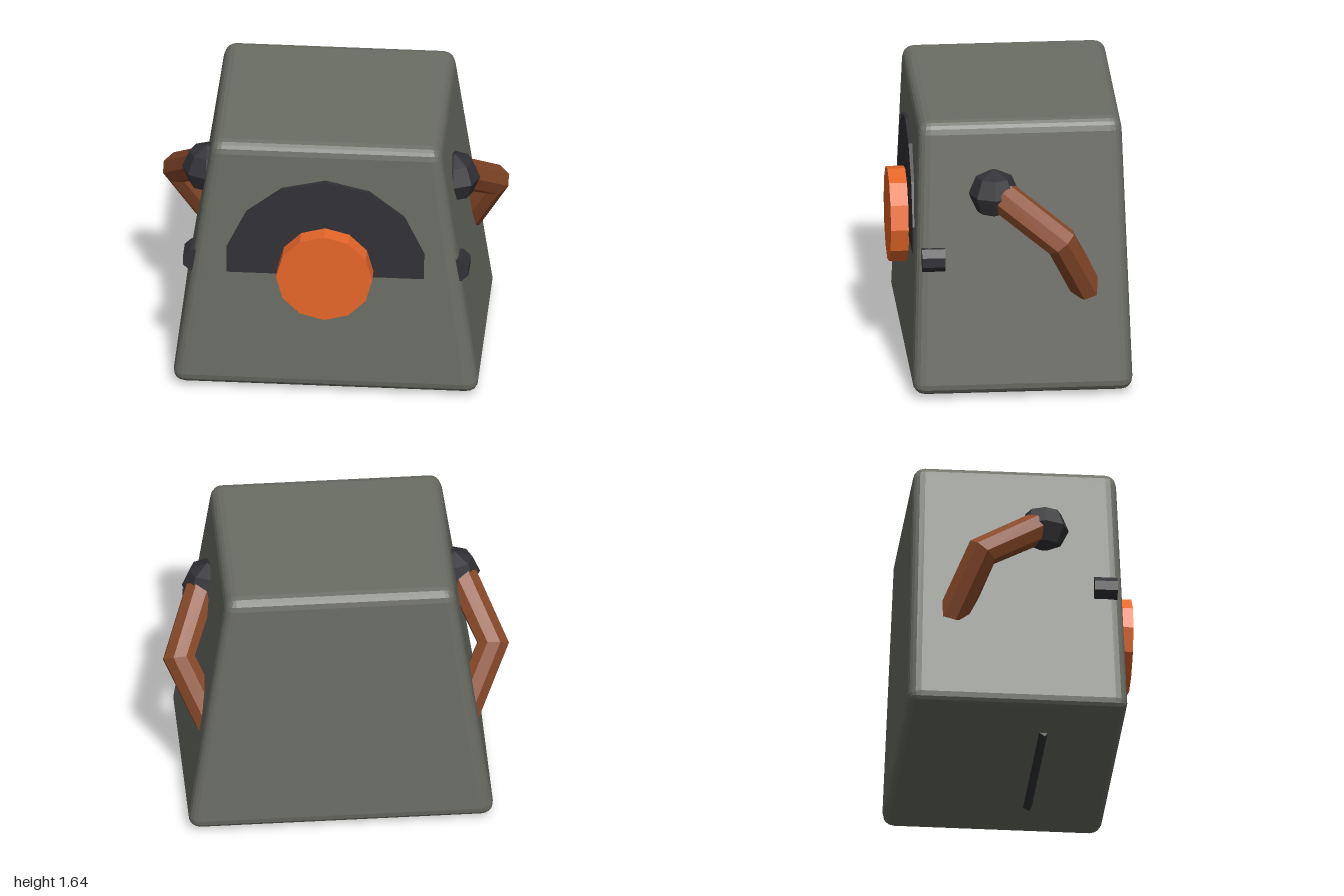
import * as THREE from 'three';
import { RoundedBoxGeometry } from 'three/addons/geometries/RoundedBoxGeometry.js';

const paint = (color, side = THREE.FrontSide) =>
  new THREE.MeshStandardMaterial({ color, flatShading: true, side });
const grey = paint(0x6b6e65);
const dark = paint(0x323136);
const orange = paint(0xe8672a);
const brown = paint(0x8a4a2a, THREE.DoubleSide);

function part(name, geometry, material, x = 0, y = 0, z = 0) {
  const mesh = new THREE.Mesh(geometry, material);
  mesh.name = name;
  mesh.position.set(x, y, z);
  return mesh;
}

// Bevelled box that narrows towards the top
function bodyGeometry() {
  const g = new RoundedBoxGeometry(1.56, 1.615, 1.232, 2, 0.07);
  const p = g.attributes.position;
  for (let i = 0; i < p.count; i++) {
    const y = p.getY(i);
    p.setX(i, p.getX(i) * (1 - 0.184 * y));
    p.setZ(i, p.getZ(i) * (1 - 0.053 * y));
  }
  return g;
}

// Faceted half disc behind the knob
function dialGeometry() {
  const half = [[0.575, 0.79], [0.575, 0.96], [0.46, 1.2], [0.255, 1.36]];
  const mirrored = half.map(([x, y]) => [-x, y]).reverse();
  const points = [...half, [0, 1.42], ...mirrored].map(([x, y]) => new THREE.Vector2(x, y));
  return new THREE.ExtrudeGeometry(new THREE.Shape(points), { depth: 0.06, bevelEnabled: false });
}

// Bent handle with one elbow, running from the ball back into the body
function handleGeometry() {
  const start = new THREE.Vector3(0.775, 1.195, 0.05);
  const elbow = new THREE.Vector3(0.915, 0.985, -0.25);
  const end = new THREE.Vector3(0.75, 0.64, -0.41);
  const control = elbow.clone().multiplyScalar(2).sub(start.clone().add(end).multiplyScalar(0.5));
  return new THREE.TubeGeometry(new THREE.QuadraticBezierCurve3(start, control, end), 2, 0.098, 8);
}

// Everything fixed to one side wall
function sideParts(name, sign) {
  const side = new THREE.Group();
  side.name = name;
  side.add(part('ballJoint', new THREE.SphereGeometry(0.148, 8, 4), dark, 0.72, 1.22, 0.12));
  side.add(part('handle', handleGeometry(), brown));
  const peg = new THREE.CylinderGeometry(0.075, 0.075, 0.135, 8).rotateY(Math.PI / 8).rotateX(Math.PI / 2);
  side.add(part('sidePeg', peg, dark, 0.762, 0.835, 0.476));
  side.scale.x = sign;
  return side;
}

export function createModel() {
  const model = new THREE.Group();
  model.name = 'box';
  model.add(part('body', bodyGeometry(), grey, 0, 0.83, -0.04));
  model.add(part('dialPlate', dialGeometry(), dark, 0, 0, 0.521));
  const knob = new THREE.CylinderGeometry(0.28, 0.28, 0.145, 12).rotateX(Math.PI / 2);
  model.add(part('knob', knob, orange, 0, 0.83, 0.612));

  // Tilted strip under the base
  const strip = part('baseStrip', new THREE.BoxGeometry(1.03, 0.06, 0.045), dark, 0, 0.037, 0.145);
  strip.rotation.x = 0.6;
  model.add(strip);

  model.add(sideParts('leftSide', 1), sideParts('rightSide', -1));
  return model;
}
